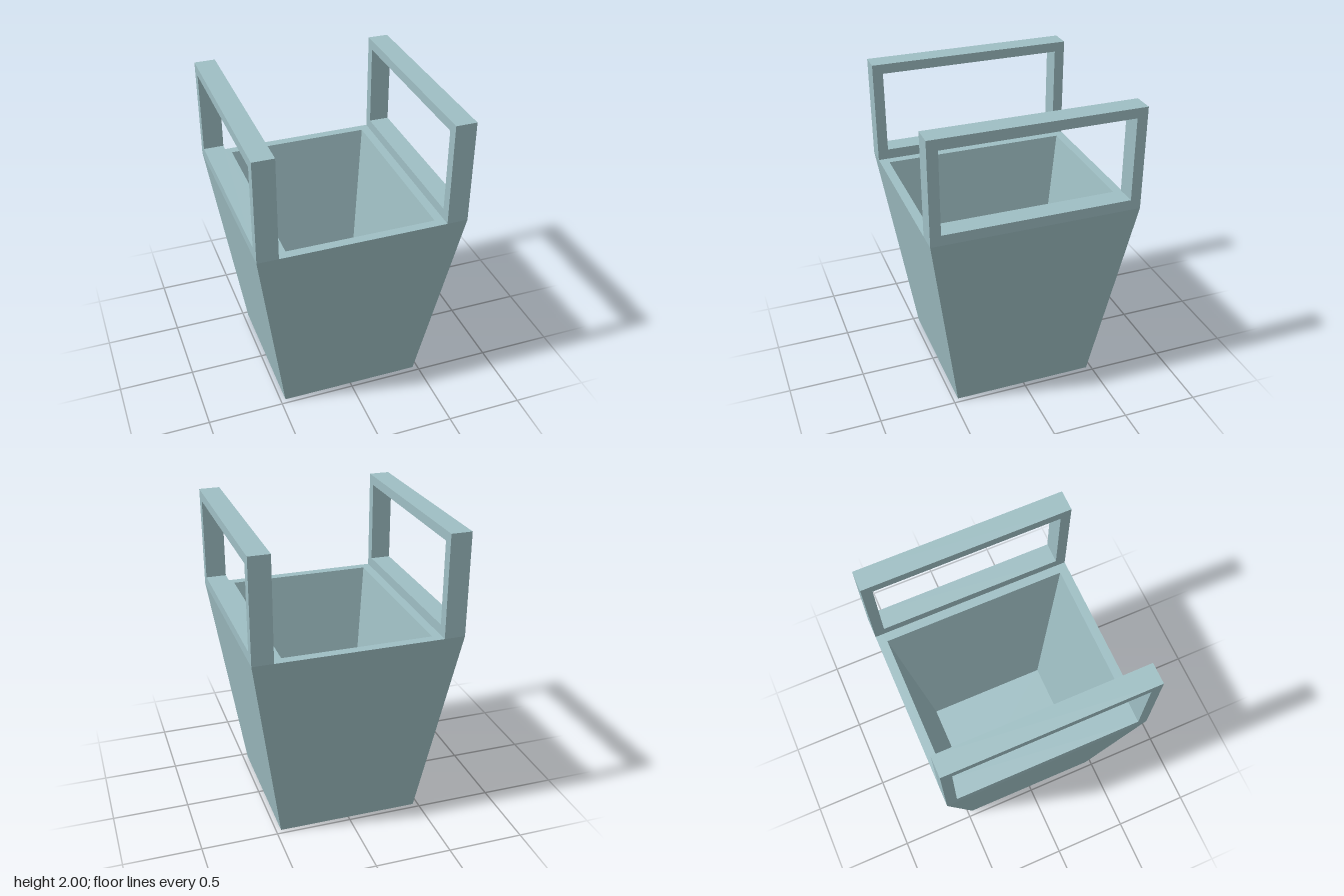
import * as THREE from 'three';

// Flat-shaded skin over rectangular rings [halfX, y, halfZ], closed at both ends
function ringShell(rings) {
  const loops = rings.map(([x, y, z]) => [[x, y, z], [x, y, -z], [-x, y, -z], [-x, y, z]]);
  const pos = [];
  const quad = (a, b, c, d) => pos.push(...a, ...b, ...c, ...a, ...c, ...d);
  for (let i = 0; i < loops.length - 1; i++) {
    const lo = loops[i], hi = loops[i + 1];
    for (let k = 0; k < 4; k++) {
      const n = (k + 1) % 4;
      quad(lo[k], lo[n], hi[n], hi[k]);
    }
  }
  quad(...[...loops[0]].reverse());
  quad(...loops[loops.length - 1]);
  const geo = new THREE.BufferGeometry();
  geo.setAttribute('position', new THREE.Float32BufferAttribute(pos, 3));
  geo.computeVertexNormals();
  return geo;
}

function rectangle(PathType, halfW, y0, y1) {
  return new PathType([
    new THREE.Vector2(-halfW, y0), new THREE.Vector2(halfW, y0),
    new THREE.Vector2(halfW, y1), new THREE.Vector2(-halfW, y1),
  ]);
}

export function createModel() {
  const group = new THREE.Group();
  group.name = 'basket';
  const paleTeal = new THREE.MeshStandardMaterial({ color: 0x9fbfc4 });
  paleTeal.name = 'paleTeal';

  // Tapered bucket: outer wall, rim, inner wall and floor
  const top = 1.333;
  const body = new THREE.Mesh(ringShell([
    [0.467, 0, 0.467],
    [0.667, top, 0.667],
    [0.475, top, 0.608],
    [0.331, 0.09, 0.423],
  ]), paleTeal);
  body.name = 'bucketBody';
  group.add(body);

  // Rectangular frame handles standing on the two side rims
  const frame = rectangle(THREE.Shape, 0.667, top, 2);
  frame.holes.push(rectangle(THREE.Path, 0.6, 1.4, 1.937));
  const thickness = 0.134;
  const handleGeo = new THREE.ExtrudeGeometry(frame, { depth: thickness, bevelEnabled: false });
  handleGeo.translate(0, 0, -thickness / 2).rotateY(Math.PI / 2);
  for (const side of [1, -1]) {
    const handle = new THREE.Mesh(handleGeo, paleTeal);
    handle.name = side > 0 ? 'leftHandle' : 'rightHandle';
    handle.position.x = side * (0.667 - thickness / 2);
    group.add(handle);
  }
  return group;
}
